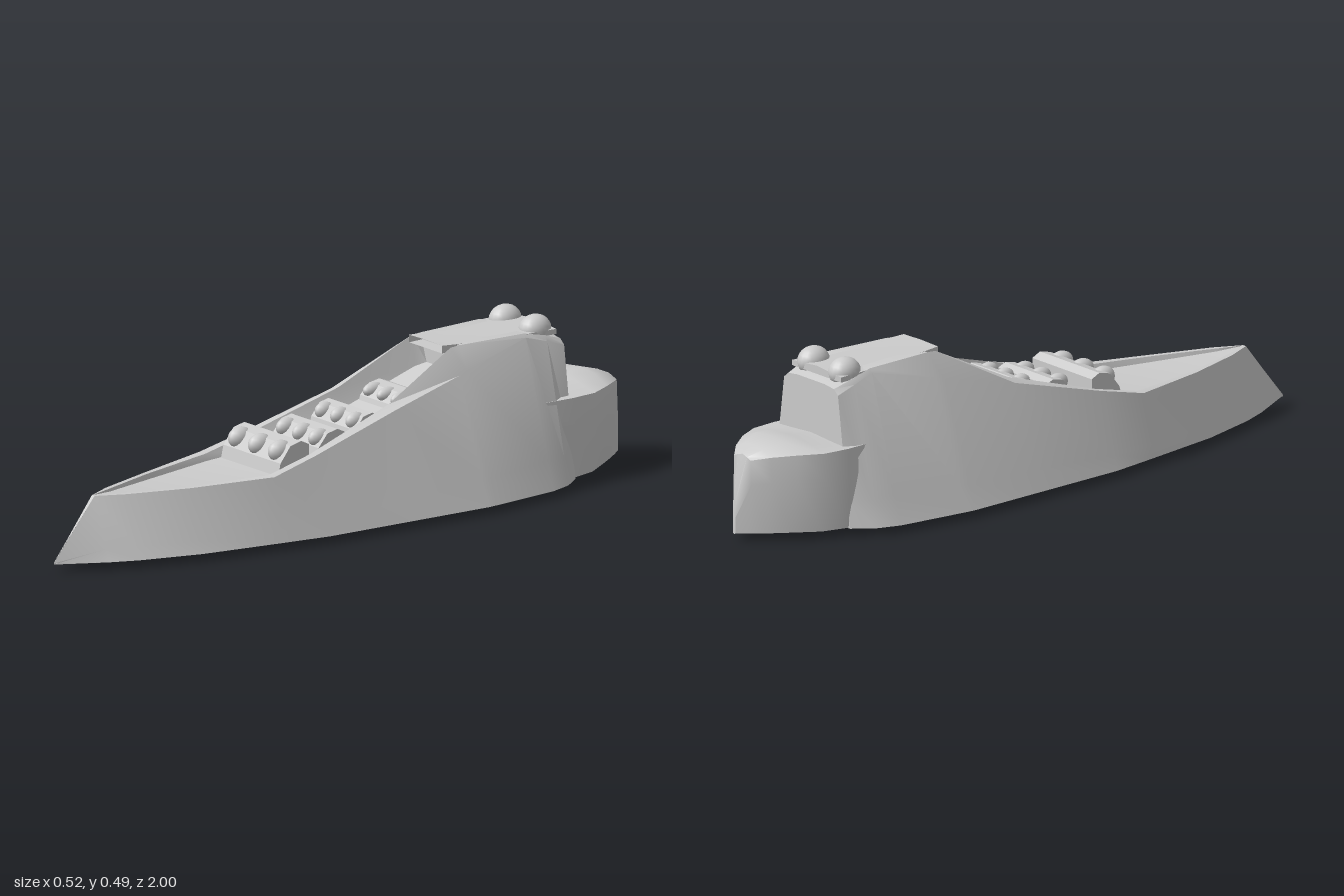
import * as THREE from 'three';
import { toCreasedNormals } from 'three/addons/utils/BufferGeometryUtils.js';

const grey = new THREE.MeshStandardMaterial({ color: 0xcccccc, side: THREE.DoubleSide });

function add(group, name, geometry, x = 0, y = 0, z = 0) {
  const mesh = new THREE.Mesh(geometry, grey);
  mesh.name = name;
  mesh.position.set(x, y, z);
  group.add(mesh);
  return mesh;
}

// Skins mirrored half sections, ordered bow to stern; each half runs keel to top centre
function loft(sections, crease = 0.5) {
  const rings = sections.map(({ z, half }) => {
    const left = half.map(([x, y]) => [x, y, z]);
    const right = half.slice(1, -1).reverse().map(([x, y]) => [-x, y, z]);
    return [...left, ...right];
  });
  const n = rings[0].length;
  const index = [];
  for (let i = 0; i < rings.length - 1; i++) {
    for (let j = 0; j < n; j++) {
      const k = (j + 1) % n, a = i * n + j, b = i * n + k;
      index.push(a, a + n, b, b, a + n, b + n);
    }
  }
  const last = (rings.length - 1) * n;
  for (let j = 1; j < n - 1; j++) index.push(last, last + j + 1, last + j);
  const g = new THREE.BufferGeometry();
  g.setAttribute('position', new THREE.Float32BufferAttribute(rings.flat(2), 3));
  g.setIndex(index);
  return toCreasedNormals(g, crease);
}

// A seat row: sloped bench back with three rounded headrests
function seatRow(width, height, depth) {
  const row = new THREE.Group();
  const s = new THREE.Shape();
  s.moveTo(-depth / 2, 0);
  s.lineTo(depth / 2, 0);
  s.lineTo(depth * 0.42, height * 0.4);
  s.lineTo(depth * 0.1, height * 0.9);
  s.lineTo(-depth * 0.25, height);
  s.lineTo(-depth / 2, height * 0.85);
  const bench = new THREE.ExtrudeGeometry(s, { depth: width, bevelEnabled: false });
  bench.translate(0, 0, -width / 2);
  bench.rotateY(-Math.PI / 2);
  add(row, 'bench', bench);
  for (const i of [-1, 0, 1]) {
    const rest = add(row, 'headrest', new THREE.SphereGeometry(1, 14, 10), i * width * 0.35, height * 0.68, depth * 0.16);
    rest.scale.set(width * 0.1, height * 0.34, depth * 0.36);
  }
  return row;
}

export function createModel() {
  const model = new THREE.Group();

  // Hull: z, bottom width, keel y, rim width, rim y, inner rim width, inner rim y, floor width, floor y
  const stations = [
    [1.0, 0, 0.025, 0, 0.026, 0, 0.027, 0, 0.028],
    [0.86, 0.075, 0.02, 0.006, 0.2, 0.004, 0.2, 0.003, 0.2],
    [0.78, 0.11, 0.02, 0.045, 0.2, 0.03, 0.2, 0.028, 0.192],
    [0.6, 0.165, 0.016, 0.105, 0.2, 0.09, 0.2, 0.085, 0.185],
    [0.35, 0.21, 0.01, 0.172, 0.205, 0.145, 0.205, 0.14, 0.185],
    [0.2, 0.235, 0.004, 0.165, 0.24, 0.14, 0.24, 0.12, 0.2],
    [-0.1, 0.25, 0, 0.148, 0.32, 0.115, 0.33, 0.1, 0.27],
    [-0.34, 0.262, 0.006, 0.128, 0.375, 0.088, 0.448, 0.075, 0.36],
    [-0.37, 0.26, 0.006, 0.125, 0.385, 0.088, 0.45, 0.06, 0.37],
    [-0.37, 0.26, 0.006, 0.125, 0.385, 0.088, 0.45, 0.06, 0.45],
    [-0.59, 0.238, 0.014, 0.11, 0.44, 0.1, 0.45, 0.06, 0.45],
    [-0.66, 0.215, 0.018, 0.118, 0.42, 0.108, 0.435, 0.06, 0.44],
    [-0.72, 0.17, 0.02, 0.118, 0.4, 0.1, 0.415, 0.06, 0.42],
  ];
  add(model, 'hull', loft(stations.map(([z, wb, yk, wr, yr, wi, yi, wf, yf]) => ({
    z,
    half: [[0, yk], [wb, z === 1 ? yk : 0.022], [wr + (wb - wr) * 0.8, 0.022 + (yr - 0.022) * 0.2],
      [wr, yr], [wi, yi], [wf, yf], [0, yf]],
  }))));

  // Rounded stern: z, bottom width, deck width, deck edge y, deck centre y
  const stern = [
    [-0.58, 0.16, 0.162, 0.255, 0.265],
    [-0.72, 0.165, 0.17, 0.255, 0.265],
    [-0.8, 0.145, 0.162, 0.255, 0.275],
    [-0.87, 0.1, 0.125, 0.255, 0.286],
    [-0.93, 0.06, 0.08, 0.25, 0.27],
    [-0.97, 0.03, 0.038, 0.24, 0.252],
    [-1.0, 0.005, 0.005, 0.1, 0.11],
  ];
  add(model, 'stern', loft(stern.map(([z, wb, wd, ye, yc]) => ({
    z, half: [[0, 0.022], [wb, 0.024], [wd, ye * 0.7], [wd * 0.96, ye], [wd * 0.5, yc - 0.006], [0, yc]],
  })), 0.8));

  // Roof slab with its overhanging front lip
  const roof = [[-0.32, 0.075], [-0.45, 0.085], [-0.6, 0.102], [-0.7, 0.108]];
  add(model, 'roof', loft(roof.map(([z, w], i) => ({
    z, half: [[0, 0.432], [w, 0.432], [w, i ? 0.447 : 0.454], [0, 0.456]],
  }))));

  // Seat rows climbing toward the roof: z, base y, width, height, depth
  const rows = [
    [0.25, 0.19, 0.26, 0.09, 0.11],
    [0.1, 0.21, 0.21, 0.075, 0.1],
    [-0.03, 0.24, 0.2, 0.07, 0.09],
    [-0.2, 0.28, 0.18, 0.06, 0.1],
  ];
  for (const [z, y, w, h, d] of rows) {
    const row = seatRow(w, h, d);
    row.name = 'seatRow';
    row.position.set(0, y, z);
    model.add(row);
  }

  // Pair of rounded humps on the back of the roof
  for (const side of [-1, 1]) {
    const hump = add(model, 'rearHump', new THREE.SphereGeometry(1, 18, 12), side * 0.068, 0.447, -0.655);
    hump.scale.set(0.04, 0.042, 0.05);
  }
  return model;
}
